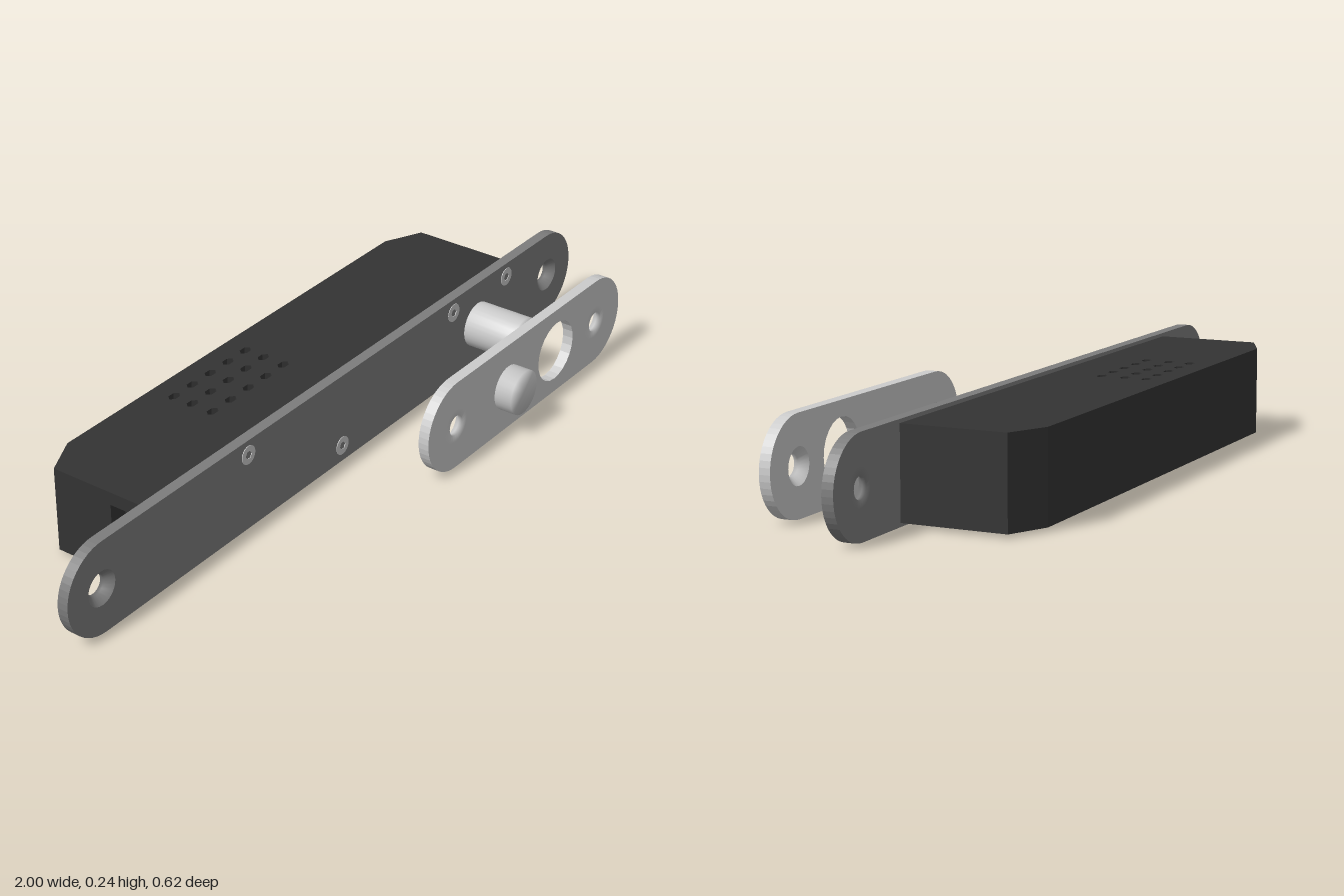
import * as THREE from 'three';
import { mergeVertices } from 'three/addons/utils/BufferGeometryUtils.js';

const MID = 0.119; // height of the centre line
const mat = (color, side = THREE.FrontSide) => new THREE.MeshStandardMaterial({ color, side });
const PLATE = 0x7c7c7c, BODY = 0x333333, STEEL = 0xcccccc;

function add(parent, name, geometry, material) {
  const mesh = new THREE.Mesh(geometry, material);
  mesh.name = name;
  parent.add(mesh);
  return mesh;
}

function circle(x, y, r) {
  return new THREE.Path().absarc(x, y, r, 0, Math.PI * 2, true);
}

// Round-ended plate in the xy plane with circular holes [x, radius]
function plateGeometry(x0, x1, z0, z1, holes) {
  const r = 0.118;
  const s = new THREE.Shape();
  s.absarc(x1 - r, MID, r, -Math.PI / 2, Math.PI / 2, false);
  s.absarc(x0 + r, MID, r, Math.PI / 2, Math.PI * 1.5, false);
  for (const [x, hr] of holes) s.holes.push(circle(x, MID, hr));
  const g = new THREE.ExtrudeGeometry(s, { depth: z1 - z0, bevelEnabled: false, curveSegments: 12 });
  return g.translate(0, 0, z0);
}

// Conical seat that fills a wide plate hole; dir = 1 opens to the front
function countersink(parent, x, zMid, thick, dir, color) {
  const h = thick / 2;
  const pts = [[0.044, h], [0.026, -h * 0.3], [0.026, -h], [0.045, -h]].map(p => new THREE.Vector2(...p));
  const seat = add(parent, 'countersink', new THREE.LatheGeometry(pts, 24), mat(color, THREE.DoubleSide));
  seat.rotation.x = dir * Math.PI / 2;
  seat.position.set(x, MID, zMid);
}

// Round pin along z with normals blended over its rim
function pin(parent, name, x, r, z0, z1) {
  const g = new THREE.CylinderGeometry(r, r, z1 - z0, 32);
  g.deleteAttribute('uv');
  g.deleteAttribute('normal');
  const smooth = mergeVertices(g, 1e-5);
  smooth.computeVertexNormals();
  const m = add(parent, name, smooth, mat(STEEL));
  m.rotation.x = Math.PI / 2;
  m.position.set(x, MID, (z0 + z1) / 2);
}

// Horizontal slab of the case; plan is drawn with shape y = -z
function caseSlab(parent, name, y0, y1, { vents = false, notch = false } = {}) {
  const pts = [[-0.718, 0.003], [0.718, 0.003], [0.718, 0.26], [0.62, 0.307], [-0.62, 0.307], [-0.718, 0.26]];
  if (notch) pts.push([-0.718, 0.095], [-0.67, 0.095], [-0.67, 0.015], [-0.718, 0.015]);
  const s = new THREE.Shape(pts.map(p => new THREE.Vector2(...p)));
  if (vents) {
    for (let c = 0; c < 5; c++) for (const z of [0.13, 0.19, 0.245]) {
      const hex = [];
      for (let i = 0; i < 6; i++) {
        const a = -i * Math.PI / 3;
        hex.push(new THREE.Vector2(-0.316 + c * 0.067 + 0.018 * Math.cos(a), z + 0.012 * Math.sin(a)));
      }
      s.holes.push(new THREE.Path(hex));
    }
  }
  const g = new THREE.ExtrudeGeometry(s, { depth: y1 - y0, bevelEnabled: false });
  g.rotateX(-Math.PI / 2).translate(0, y0, 0);
  add(parent, name, g, mat(BODY));
}

export function createModel() {
  const model = new THREE.Group();
  model.name = 'boltLock';

  // Lock half: case with vents above and below and a cable socket in one end
  const lock = new THREE.Group();
  lock.name = 'lockUnit';
  model.add(lock);
  caseSlab(lock, 'caseBottom', 0.01, 0.038, { vents: true });
  caseSlab(lock, 'caseMiddle', 0.038, 0.195, { notch: true });
  caseSlab(lock, 'caseTop', 0.195, 0.228, { vents: true });

  // Face plate
  const ends = [-0.89, 0.89];
  add(lock, 'facePlate', plateGeometry(-1, 1, -0.003, 0.025, ends.map(x => [x, 0.044])), mat(PLATE));
  for (const x of ends) countersink(lock, x, 0.011, 0.028, 1, PLATE);
  pin(lock, 'bolt', 0.56, 0.059, 0, 0.167);

  // Small socket screws on the face plate
  for (const [x, y] of [[-0.38, 0.199], [-0.02, 0.044], [0.45, 0.199], [0.69, 0.199]]) {
    const head = new THREE.Shape().absarc(0, 0, 0.024, 0, Math.PI * 2, false);
    const hex = [];
    for (let i = 0; i < 6; i++) hex.push(new THREE.Vector2(0.011 * Math.cos(-i * Math.PI / 3), 0.011 * Math.sin(-i * Math.PI / 3)));
    head.holes.push(new THREE.Path(hex));
    const g = new THREE.ExtrudeGeometry(head, { depth: 0.004, bevelEnabled: false });
    add(lock, 'screw', g, mat(STEEL)).position.set(x, y, 0.0225);
  }

  // Strike half: plate with bolt hole, screw holes sunk from the back, and a stud
  const strike = new THREE.Group();
  strike.name = 'strikeUnit';
  model.add(strike);
  const screws = [0.115, 0.745];
  const holes = [...screws.map(x => [x, 0.044]), [0.56, 0.08]];
  add(strike, 'strikePlate', plateGeometry(0, 0.863, 0.233, 0.261, holes), mat(STEEL));
  for (const x of screws) countersink(strike, x, 0.247, 0.028, -1, STEEL);
  pin(strike, 'stud', 0.34, 0.058, 0.24, 0.308);

  return model;
}
